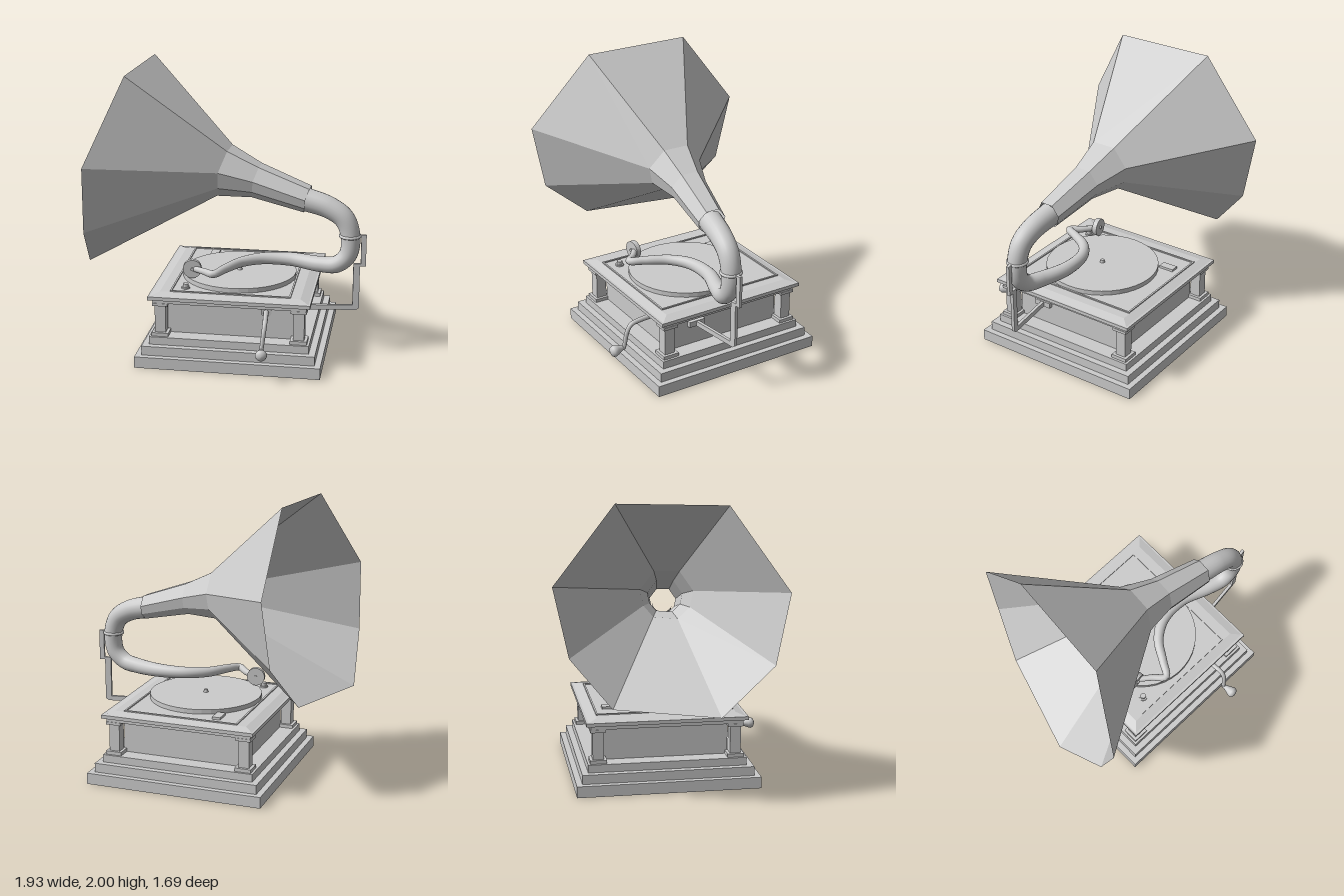
import * as THREE from 'three';

const flat = new THREE.MeshStandardMaterial({ color: 0xcccccc, flatShading: true, side: THREE.DoubleSide });
const smooth = new THREE.MeshStandardMaterial({ color: 0xcccccc });
const V = (x, y, z) => new THREE.Vector3(x, y, z);

function add(parent, name, geometry, x = 0, y = 0, z = 0, material = flat) {
  const mesh = new THREE.Mesh(geometry, material);
  mesh.name = name;
  mesh.position.set(x, y, z);
  parent.add(mesh);
  return mesh;
}

// Box given by its half width, half depth and bottom and top heights
function slab(parent, name, a, b, y0, y1, x = 0, z = 0) {
  return add(parent, name, new THREE.BoxGeometry(2 * a, y1 - y0, 2 * b), x, (y0 + y1) / 2, z);
}

// Round tube whose radius grows evenly along its path
function taperedTube(points, r0, r1, segments, sides) {
  const curve = new THREE.CatmullRomCurve3(points.map(p => V(...p)));
  const geo = new THREE.TubeGeometry(curve, segments, 1, sides, false);
  const pos = geo.attributes.position;
  const v = new THREE.Vector3();
  for (let i = 0; i <= segments; i++) {
    const u = i / segments;
    const centre = curve.getPointAt(u);
    for (let j = 0; j <= sides; j++) {
      const k = i * (sides + 1) + j;
      v.fromBufferAttribute(pos, k).sub(centre).multiplyScalar(r0 + (r1 - r0) * u).add(centre);
      pos.setXYZ(k, v.x, v.y, v.z);
    }
  }
  return geo;
}

// Eight-sided horn: the mouth outline shrinks towards the neck
function hornGeometry() {
  const mouth = [
    [-0.685, 1.98, 0.3], [-0.54, 2.0, -0.435], [-0.485, 1.465, -0.845], [-0.53, 0.99, -0.75],
    [-0.68, 0.665, -0.495], [-0.97, 0.635, 0.16], [-0.955, 0.955, 0.535], [-0.94, 1.43, 0.64],
  ].map(p => V(...p));
  const centre = V(-0.72, 1.27, -0.11);
  const rings = [[centre, 1], [V(-0.01, 1.265, 0.075), 0.242], [V(0.21, 1.215, 0.13), 0.162], [V(0.56, 1.11, 0.22), 0.125]];
  const positions = [], index = [];
  rings.forEach(([c, s], i) => mouth.forEach((p, j) => {
    positions.push(...p.clone().sub(centre).multiplyScalar(s).add(c).toArray());
    if (i === rings.length - 1) return;
    const a = i * 8 + j, b = i * 8 + (j + 1) % 8;
    index.push(a, b, a + 8, b, b + 8, a + 8);
  }));
  const geo = new THREE.BufferGeometry();
  geo.setAttribute('position', new THREE.Float32BufferAttribute(positions, 3));
  geo.setIndex(index);
  geo.computeVertexNormals();
  return geo;
}

function rectangle(PathType, a, b) {
  return new PathType([[-a, -b], [a, -b], [a, b], [-a, b]].map(p => new THREE.Vector2(...p)));
}

function createCabinet() {
  const cabinet = new THREE.Group();
  cabinet.name = 'cabinet';
  cabinet.position.set(0.09, 0, 0.025);
  cabinet.rotation.y = -0.13;

  // Stepped plinth and body
  slab(cabinet, 'plinthBottom', 0.64, 0.64, 0, 0.08);
  slab(cabinet, 'plinthMiddle', 0.598, 0.598, 0.08, 0.145);
  slab(cabinet, 'plinthTop', 0.553, 0.553, 0.145, 0.2);
  slab(cabinet, 'body', 0.438, 0.438, 0.2, 0.44);

  // Corner columns with bases and caps
  for (const sx of [-1, 1]) for (const sz of [-1, 1]) {
    const x = sx * 0.479, z = sz * 0.479;
    slab(cabinet, 'columnBase', 0.058, 0.058, 0.2, 0.225, x, z);
    slab(cabinet, 'column', 0.038, 0.038, 0.225, 0.42, x, z);
    slab(cabinet, 'columnCap', 0.054, 0.054, 0.42, 0.44, x, z);
  }

  // Lid with moulding, bevelled top and thin frame
  slab(cabinet, 'lidMoulding', 0.53, 0.53, 0.44, 0.47);
  slab(cabinet, 'lid', 0.558, 0.562, 0.47, 0.495);
  const bevel = new THREE.CylinderGeometry(0.485 * Math.SQRT2, 0.545 * Math.SQRT2, 0.017, 4).rotateY(Math.PI / 4);
  add(cabinet, 'lidBevel', bevel, 0, 0.5035, 0);
  const frame = rectangle(THREE.Shape, 0.417, 0.48);
  frame.holes.push(rectangle(THREE.Path, 0.405, 0.468));
  const frameGeo = new THREE.ExtrudeGeometry(frame, { depth: 0.012, bevelEnabled: false }).rotateX(-Math.PI / 2);
  add(cabinet, 'lidFrame', frameGeo, 0, 0.508, 0);
  return cabinet;
}

function createCrank() {
  const crank = new THREE.Group();
  crank.name = 'crank';
  const plate = new THREE.CylinderGeometry(0.037, 0.037, 0.03, 20).rotateX(Math.PI / 2);
  add(crank, 'crankPlate', plate, 0.277, 0.39, 0.485, smooth);
  const path = [[0.277, 0.387, 0.47], [0.272, 0.387, 0.62], [0.268, 0.375, 0.685], [0.262, 0.33, 0.715],
    [0.252, 0.25, 0.728], [0.247, 0.212, 0.735], [0.245, 0.203, 0.76]];
  add(crank, 'crankArm', taperedTube(path, 0.019, 0.014, 40, 12), 0, 0, 0, smooth);
  const profile = [[0, 0], [0.014, 0], [0.018, 0.03], [0.034, 0.07], [0.04, 0.09], [0.034, 0.108], [0.016, 0.118], [0, 0.12]];
  const handle = new THREE.LatheGeometry(profile.map(p => new THREE.Vector2(...p)), 20).rotateX(Math.PI / 2);
  add(crank, 'crankHandle', handle, 0.245, 0.203, 0.725, smooth);
  return crank;
}

function createBracket() {
  const bracket = new THREE.Group();
  bracket.name = 'bracket';
  const outline = [[0.47, 0.345], [0.9, 0.345], [0.92, 0.36], [0.92, 0.665], [0.96, 0.665], [0.96, 0.89], [0.9, 0.89],
    [0.9, 0.872], [0.925, 0.872], [0.925, 0.683], [0.875, 0.683], [0.875, 0.38], [0.47, 0.38]];
  const shape = new THREE.Shape(outline.map(p => new THREE.Vector2(...p)));
  add(bracket, 'bracketArm', new THREE.ExtrudeGeometry(shape, { depth: 0.022, bevelEnabled: false }), 0, 0, 0.299);
  const plate = add(bracket, 'bracketPlate', new THREE.BoxGeometry(0.05, 0.04, 0.125), 0.5, 0.363, 0.308);
  plate.rotation.y = -0.13;
  const ring = new THREE.TorusGeometry(0.067, 0.011, 10, 28).rotateX(Math.PI / 2);
  add(bracket, 'bracketRing', ring, 0.848, 0.88, 0.3, smooth);
  return bracket;
}

export function createModel() {
  const model = new THREE.Group();
  model.name = 'gramophone';
  model.add(createCabinet(), createCrank(), createBracket());

  // Turntable, spindle and small controls on the lid
  add(model, 'turntable', new THREE.CylinderGeometry(0.403, 0.403, 0.033, 40), 0.087, 0.5285, 0.062);
  add(model, 'spindle', new THREE.CylinderGeometry(0.014, 0.018, 0.022, 12), 0.087, 0.554, 0.062);
  add(model, 'speedKnob', new THREE.CylinderGeometry(0.02, 0.02, 0.025, 16), -0.28, 0.533, 0.37);
  add(model, 'speedKnobFoot', new THREE.CylinderGeometry(0.03, 0.03, 0.012, 16), -0.28, 0.516, 0.37);
  const brake = add(model, 'brake', new THREE.BoxGeometry(0.06, 0.018, 0.11), -0.105, 0.52, -0.37);
  brake.rotation.y = -0.13;

  // Tone arm swelling into the curved neck
  const arm = [[-0.22, 0.62, 0.28], [-0.15, 0.625, 0.35], [-0.085, 0.635, 0.425], [-0.01, 0.645, 0.34],
    [0.1, 0.65, 0.21], [0.25, 0.655, 0.14], [0.45, 0.655, 0.15], [0.65, 0.652, 0.24], [0.76, 0.668, 0.285],
    [0.835, 0.74, 0.3], [0.85, 0.88, 0.3], [0.805, 1.0, 0.288], [0.7, 1.07, 0.26], [0.54, 1.115, 0.217]];
  add(model, 'toneArm', taperedTube(arm, 0.02, 0.082, 110, 20), 0, 0, 0, smooth);

  // Sound box with its centre boss
  const drum = new THREE.CylinderGeometry(0.065, 0.065, 0.035, 28).rotateX(Math.PI / 2);
  add(model, 'soundBox', drum, -0.24, 0.621, 0.272);
  const boss = new THREE.CylinderGeometry(0.012, 0.012, 0.055, 12).rotateX(Math.PI / 2);
  add(model, 'soundBoxBoss', boss, -0.24, 0.621, 0.272);

  add(model, 'horn', hornGeometry());
  return model;
}
